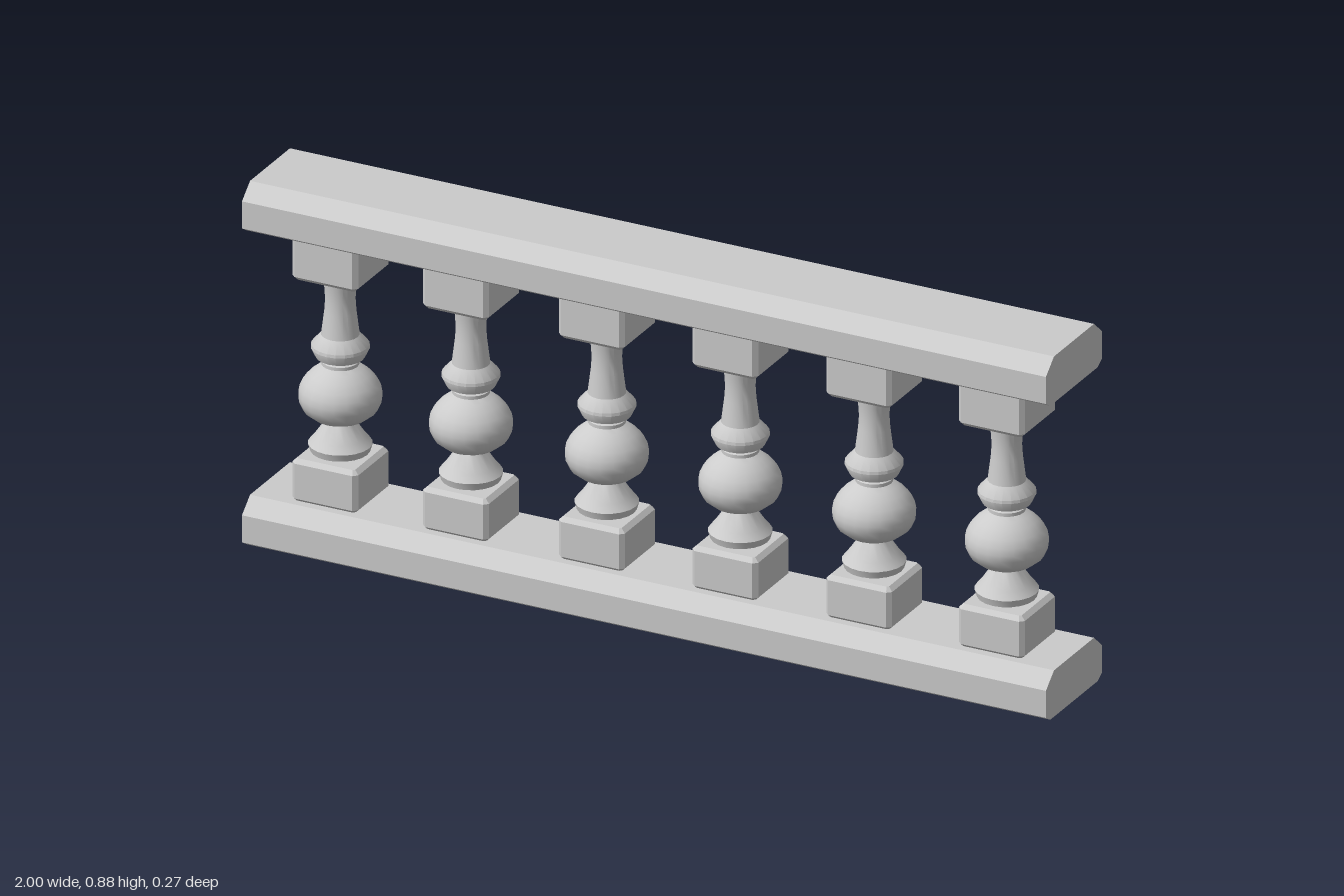
import * as THREE from 'three';
import { toCreasedNormals } from 'three/addons/utils/BufferGeometryUtils.js';

const material = new THREE.MeshStandardMaterial({ color: 0xcccccc });

function part(name, geometry, parent, y = 0) {
  const mesh = new THREE.Mesh(geometry, material);
  mesh.name = name;
  mesh.position.y = y;
  parent.add(mesh);
  return mesh;
}

// Rail: chamfered section in (z, y), extruded along x
function railGeometry() {
  const half = [[0.114, 0], [0.135, 0.013], [0.135, 0.079], [0.096, 0.113]];
  const mirrored = half.map(([z, y]) => [-z, y]).reverse();
  const shape = new THREE.Shape([...half, ...mirrored].map(([z, y]) => new THREE.Vector2(z, y)));
  const geometry = new THREE.ExtrudeGeometry(shape, { depth: 2, bevelEnabled: false });
  return geometry.translate(0, 0, -1).rotateY(Math.PI / 2);
}

// Square block with every edge chamfered, standing on y = 0
function blockGeometry(height, h = 0.082, c = 0.01) {
  const shape = new THREE.Shape([
    [h, -h + c], [h, h - c], [h - c, h], [-h + c, h],
    [-h, h - c], [-h, -h + c], [-h + c, -h], [h - c, -h],
  ].map(([x, y]) => new THREE.Vector2(x, y)));
  const geometry = new THREE.ExtrudeGeometry(shape, {
    depth: height - 2 * c, bevelThickness: c, bevelSize: c, bevelOffset: -c, bevelSegments: 1,
  });
  return geometry.translate(0, 0, c).rotateX(-Math.PI / 2);
}

// Turned baluster: radius and height pairs from bottom to top
function spindleGeometry() {
  const profile = [
    [0.05, 0.205], [0.05, 0.217], [0.067, 0.222], [0.072, 0.239], [0.059, 0.255],
    [0.032, 0.295], [0.037, 0.298], [0.062, 0.305], [0.083, 0.322], [0.092, 0.342], [0.094, 0.358],
    [0.091, 0.374], [0.083, 0.391], [0.068, 0.408], [0.052, 0.421], [0.037, 0.429],
    [0.042, 0.431], [0.043, 0.435], [0.042, 0.439], [0.036, 0.442], [0.038, 0.446],
    [0.055, 0.45], [0.066, 0.473], [0.065, 0.48], [0.043, 0.504],
    [0.036, 0.56], [0.034, 0.59], [0.036, 0.62], [0.04, 0.655],
  ].map(([r, y]) => new THREE.Vector2(r, y));
  return toCreasedNormals(new THREE.LatheGeometry(profile, 20), 0.6);
}

export function createModel() {
  const model = new THREE.Group();
  model.name = 'balustrade';

  const rail = railGeometry();
  part('bottomRail', rail, model);
  part('topRail', rail, model, 0.765);

  const spindle = spindleGeometry();
  const lowerBlock = blockGeometry(0.105);
  const upperBlock = blockGeometry(0.118);

  // Row of balusters between the rails
  for (const x of [-0.825, -0.5, -0.162, 0.17, 0.503, 0.833]) {
    const baluster = new THREE.Group();
    baluster.name = 'baluster';
    baluster.position.x = x;
    part('lowerBlock', lowerBlock, baluster, 0.11);
    part('spindle', spindle, baluster);
    part('upperBlock', upperBlock, baluster, 0.65);
    model.add(baluster);
  }
  return model;
}
